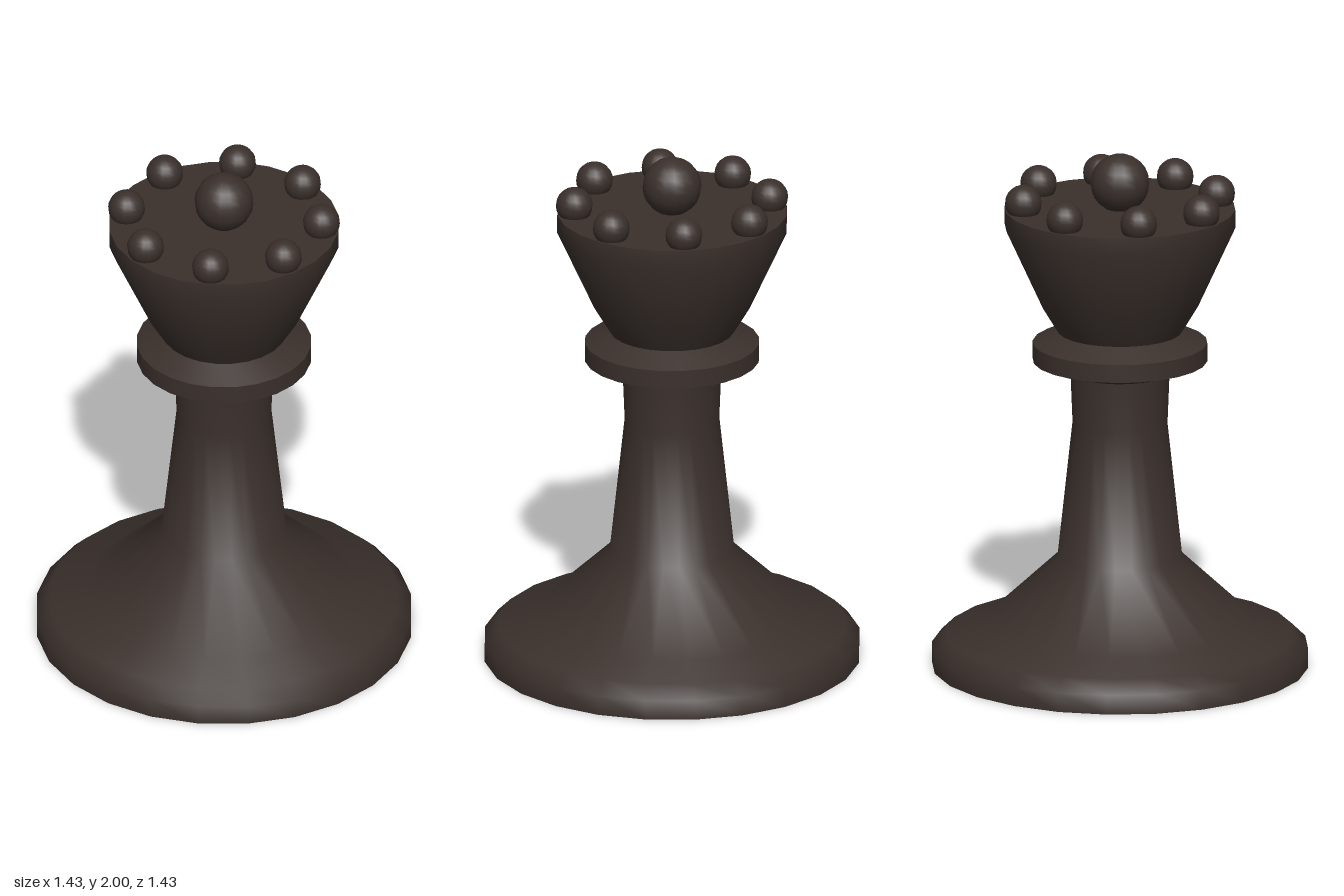
import * as THREE from 'three';
import { toCreasedNormals } from 'three/addons/utils/BufferGeometryUtils.js';

const SIDES = 24;

export function createModel() {
  const group = new THREE.Group();
  const material = new THREE.MeshStandardMaterial({ color: 0x3a302c });

  function add(name, geometry, x = 0, y = 0, z = 0) {
    const mesh = new THREE.Mesh(geometry, material);
    mesh.name = name;
    mesh.position.set(x, y, z);
    group.add(mesh);
  }

  // Turned part from [radius, height] pairs, bottom to top
  function turned(name, profile) {
    const points = profile.map(([r, y]) => new THREE.Vector2(r, y));
    add(name, toCreasedNormals(new THREE.LatheGeometry(points, SIDES), 0.87));
  }

  // Foot sweeping up into the slender stem
  turned('baseAndStem', [
    [0, 0], [0.713, 0], [0.713, 0.075], [0.662, 0.125], [0.52, 0.165],
    [0.236, 0.43], [0.18, 0.95], [0.188, 1.15],
  ]);

  // Bevelled ring below the crown
  turned('collar', [
    [0.188, 1.15], [0.331, 1.195], [0.331, 1.265], [0.236, 1.31],
  ]);

  // Flared crown with a flat top
  turned('crown', [
    [0.236, 1.31], [0.296, 1.41], [0.437, 1.72], [0.437, 1.79], [0, 1.79],
  ]);

  // Large centre ball and a ring of eight small ones
  add('centreBall', new THREE.SphereGeometry(0.112, 16, 12), 0, 1.888, 0);
  const ball = new THREE.SphereGeometry(0.07, 16, 12);
  for (let i = 0; i < 8; i++) {
    const a = (i * Math.PI) / 4;
    add('crownBall', ball, 0.372 * Math.cos(a), 1.828, 0.372 * Math.sin(a));
  }

  return group;
}
